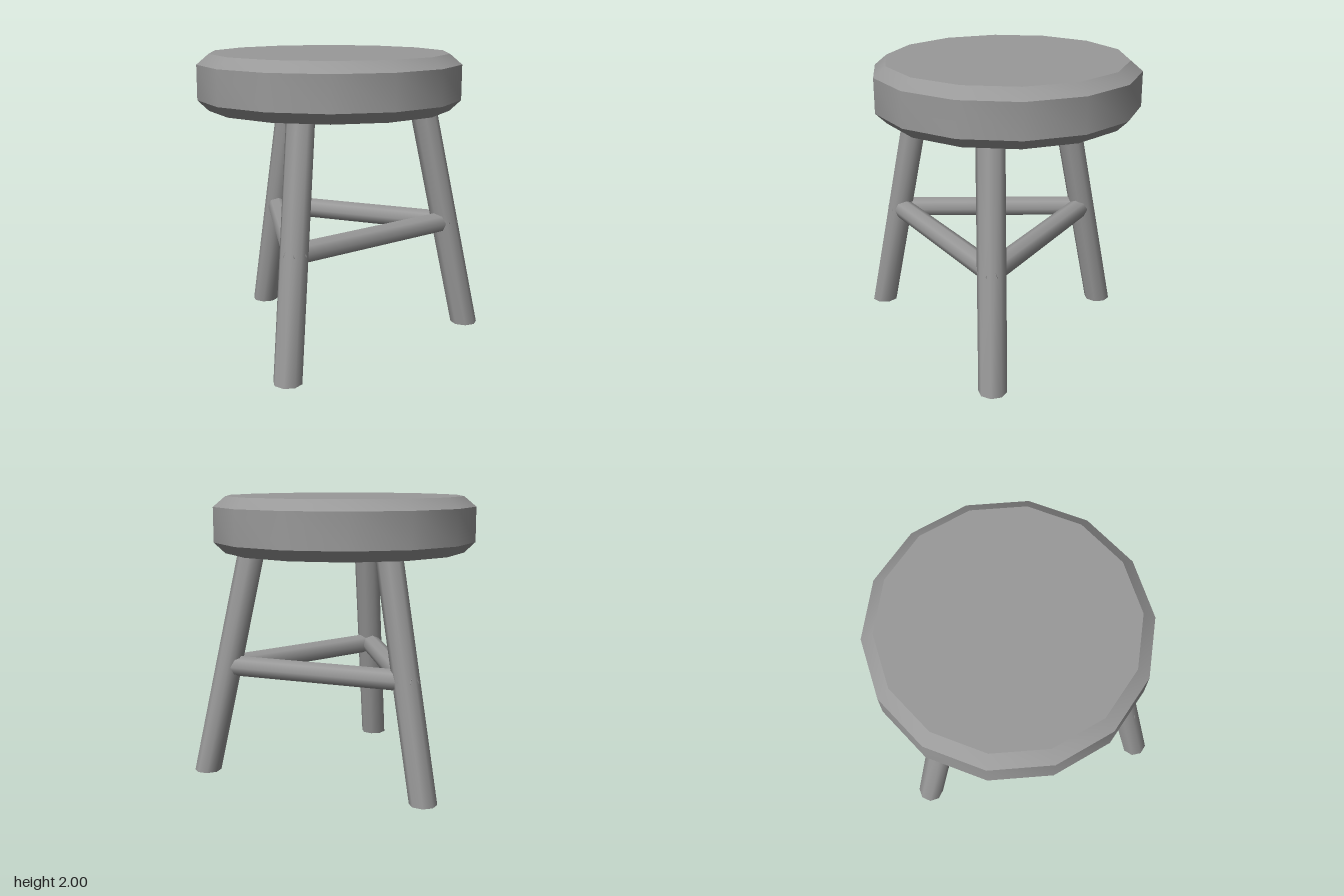
import * as THREE from 'three';
import { toCreasedNormals } from 'three/addons/utils/BufferGeometryUtils.js';

const material = new THREE.MeshStandardMaterial({ color: 0x999999 });
const SIDES = 8;

function part(name, geometry) {
  const mesh = new THREE.Mesh(geometry, material);
  mesh.name = name;
  return mesh;
}

// Leaning post with level ends: an upright cylinder sheared from foot to top
function leg(name, foot, top) {
  const height = top.y - foot.y;
  const geometry = new THREE.CylinderGeometry(0.094, 0.094, height, SIDES);
  geometry.rotateY(Math.atan2(foot.x, foot.z)); // one corner points outward
  const pos = geometry.attributes.position;
  for (let i = 0; i < pos.count; i++) {
    const t = pos.getY(i) / height + 0.5;
    const axis = foot.clone().lerp(top, t);
    pos.setXYZ(i, pos.getX(i) + axis.x, axis.y, pos.getZ(i) + axis.z);
  }
  return part(name, toCreasedNormals(geometry, 0.9));
}

// Round bar between two points, running slightly past each of them
function rung(name, a, b) {
  const length = a.distanceTo(b) + 0.11;
  const geometry = new THREE.CylinderGeometry(0.073, 0.073, length, SIDES);
  geometry.rotateX(Math.PI / 2);
  const mesh = part(name, geometry);
  mesh.position.copy(a).add(b).multiplyScalar(0.5);
  mesh.lookAt(b);
  return mesh;
}

export function createModel() {
  const model = new THREE.Group();
  model.name = 'stool';

  // Fourteen-sided seat with bevelled rims
  const profile = [[0, 1.62], [0.83, 1.62], [0.906, 1.693], [0.906, 1.93], [0.823, 2], [0, 2]]
    .map(([r, y]) => new THREE.Vector2(r, y));
  const seat = new THREE.LatheGeometry(profile, 14);
  seat.rotateY(Math.PI / 2);
  seat.translate(0.006, 0, 0.016);
  model.add(part('seat', toCreasedNormals(seat, 0.6)));

  // Three splayed legs: name, foot, top
  const v = (x, y, z) => new THREE.Vector3(x, y, z);
  const legs = [
    ['frontRightLeg', v(-0.82, 0.02, 0.625), v(-0.54, 1.68, 0.41)],
    ['frontLeftLeg', v(0.792, 0.04, 0.615), v(0.485, 1.68, 0.435)],
    ['backLeg', v(0.021, 0, -0.81), v(0.021, 1.68, -0.445)],
  ];
  for (const [name, foot, top] of legs) model.add(leg(name, foot, top));

  // Level rungs joining the legs in a triangle
  const joints = legs.map(([, foot, top]) =>
    foot.clone().lerp(top, (0.806 - foot.y) / (top.y - foot.y)));
  ['frontRung', 'leftRung', 'rightRung'].forEach((name, i) =>
    model.add(rung(name, joints[i], joints[(i + 1) % 3])));

  return model;
}
